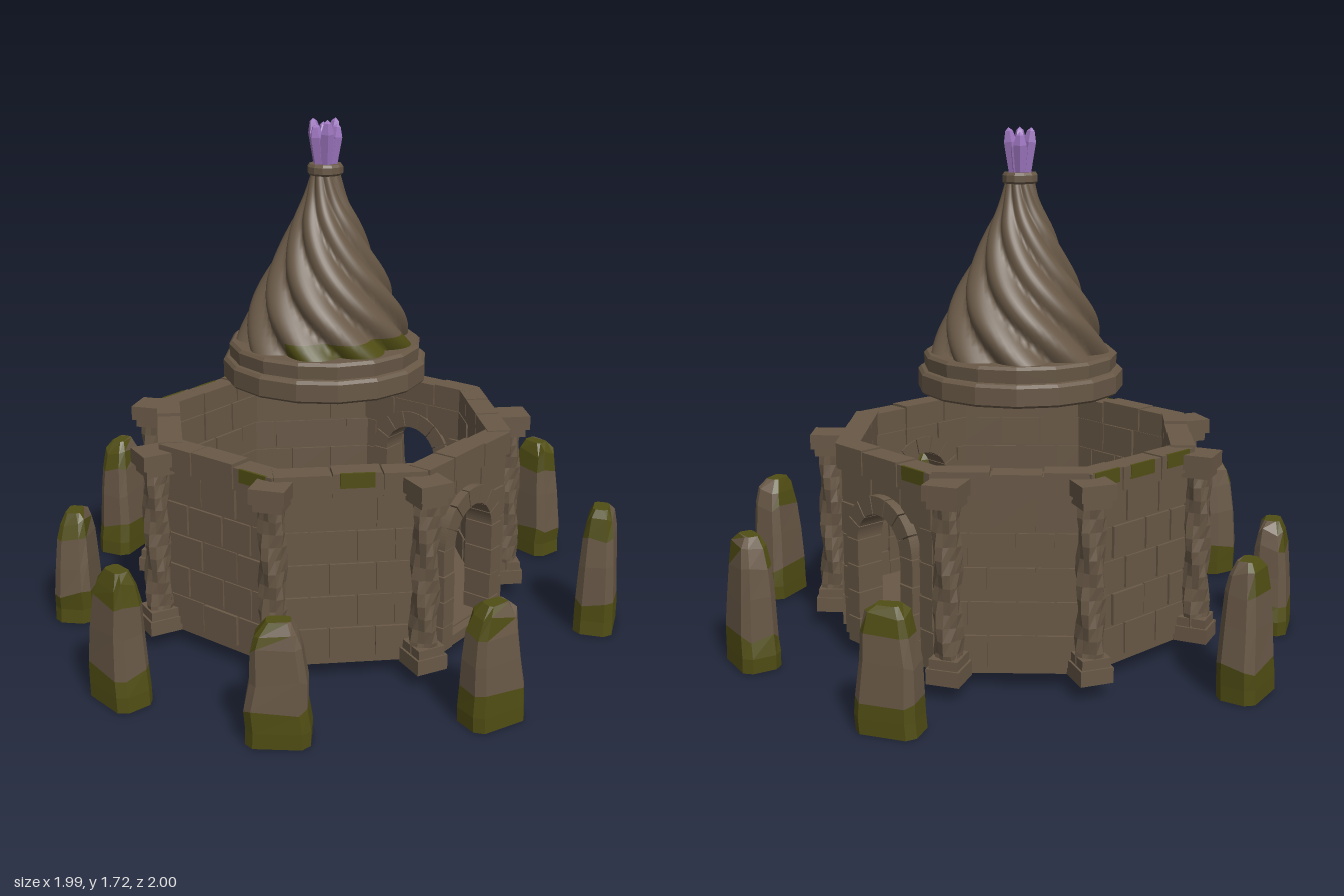
import * as THREE from 'three';

const mat = (name, color) => {
  const m = new THREE.MeshStandardMaterial({ color });
  m.name = name;
  return m;
};

export function createModel() {
  const stone = mat('stone', 0x685846);
  const moss = mat('moss', 0x504d14);
  const crystal = mat('crystal', 0xa078c2);
  const model = new THREE.Group();
  model.name = 'ruinedTower';

  let seed = 7;
  const rnd = (a, b) => {
    seed = (seed * 16807) % 2147483647;
    return a + (b - a) * seed / 2147483647;
  };
  const add = (parent, name, geo, material, x = 0, y = 0, z = 0) => {
    const m = new THREE.Mesh(geo, material);
    m.name = name;
    m.position.set(x, y, z);
    parent.add(m);
    return m;
  };
  const group = (parent, name, x = 0, y = 0, z = 0, ry = 0) => {
    const g = new THREE.Group();
    g.name = name;
    g.position.set(x, y, z);
    g.rotation.y = ry;
    parent.add(g);
    return g;
  };
  const box = (parent, name, w, h, d, x, y, z, material = stone) =>
    add(parent, name, new THREE.BoxGeometry(w, h, d), material, x, y, z);
  const flat = (geo) => {
    const g = geo.index ? geo.toNonIndexed() : geo;
    g.computeVertexNormals();
    return g;
  };
  // Assigns moss to the triangles whose centre passes the rule
  const paint = (geo, rule) => {
    const g = geo.index ? geo.toNonIndexed() : geo;
    const p = g.attributes.position;
    g.clearGroups();
    for (let i = 0; i < p.count; i += 3) {
      const mid = (k) => (p[k](i) + p[k](i + 1) + p[k](i + 2)) / 3;
      g.addGroup(i, 3, rule(mid('getX'), mid('getY'), mid('getZ')) ? 1 : 0);
    }
    return g;
  };
  // Eight-sided lathe given by apothem, with flats facing the axes
  const octagon = (profile) => {
    const pts = profile.map(([a, y]) => new THREE.Vector2(a / Math.cos(Math.PI / 8), y));
    const g = new THREE.LatheGeometry(pts, 8);
    g.rotateY(Math.PI / 8);
    return flat(g);
  };

  const CX = 0.035, CZ = 0.01;
  const tower = group(model, 'tower', CX, 0, CZ);

  // Floor with a low inner step
  add(tower, 'floor', octagon([[0, 0.06], [0.568, 0.06], [0.568, 0.1], [0.4, 0.1], [0.4, 0.12],
    [0.33, 0.12], [0.33, 0.14], [0, 0.14]]), stone);
  // Coping core, the blocks below sit slightly proud of it
  add(tower, 'copingCore', octagon([[0.518, 0.63], [0.582, 0.63], [0.582, 0.703], [0.518, 0.703], [0.518, 0.63]]), stone);

  // Eight walls; those facing +z (0) and +x (2) carry a doorway
  for (let f = 0; f < 8; f++) {
    const wall = group(tower, 'wall' + f, 0, 0, 0, f * Math.PI / 4);
    const door = f === 0 || f === 2;
    const s = new THREE.Shape([[-0.236, 0.06], [0.236, 0.06], [0.236, 0.64], [-0.236, 0.64]]
      .map(([x, y]) => new THREE.Vector2(x, y)));
    if (door) {
      const hole = new THREE.Path();
      hole.moveTo(-0.12, 0.08);
      hole.lineTo(0.12, 0.08);
      hole.lineTo(0.12, 0.42);
      hole.absarc(0, 0.42, 0.12, 0, Math.PI, false);
      hole.lineTo(-0.12, 0.08);
      s.holes.push(hole);
    }
    add(wall, 'wallPanel', new THREE.ExtrudeGeometry(s, { depth: 0.05, bevelEnabled: false }), stone, 0, 0, 0.52);

    // Staggered brick courses running through the wall
    for (let r = 0; r < 5; r++) {
      const h = 0.111, y = 0.08 + h * (r + 0.5);
      const spans = [];
      if (door && r < 4) spans.push([-0.234, -0.165], [0.165, 0.234]);
      else {
        const cuts = r % 2 ? [-0.234, -0.13, 0.02, 0.14, 0.234] : [-0.234, -0.07, 0.08, 0.234];
        for (let i = 1; i < cuts.length; i++) spans.push([cuts[i - 1], cuts[i]]);
      }
      for (const [a, b] of spans)
        box(wall, 'brick', b - a - 0.008, h - 0.008, rnd(0.058, 0.072), (a + b) / 2, y, 0.545);
    }

    // Coping blocks
    const cuts = f % 2 ? [-0.243, -0.06, 0.1, 0.243] : [-0.243, -0.1, 0.08, 0.243];
    for (let i = 0; i < 3; i++) {
      const h = rnd(0.074, 0.084);
      const block = box(wall, 'copingBlock', cuts[i + 1] - cuts[i] - 0.006, h, 0.08, (cuts[i] + cuts[i + 1]) / 2, 0.635 + h / 2, 0.55);
      // Thin moss patches along the weathered edges
      if (f === 4 || (f === 6 && i === 2) || (f === 7 && i === 1) || (f === 2 && i === 2))
        box(block, 'mossPatch', 0.11, h * 0.6, 0.008, 0, h * 0.21, 0.038, moss);
    }

    // Door surround of jamb stones and wedge-shaped arch stones
    if (door) {
      const frame = group(wall, 'doorFrame');
      for (const side of [-1, 1])
        for (let i = 0; i < 4; i++)
          box(frame, 'jambStone', 0.06, 0.086, rnd(0.094, 0.104), side * 0.14, 0.105 + i * 0.09, 0.557);
      for (let i = 0; i < 7; i++) {
        const a = i * Math.PI / 7 + 0.015, b = (i + 1) * Math.PI / 7 - 0.015;
        const w = new THREE.Shape();
        w.absarc(0, 0, 0.17, a, b, false);
        w.absarc(0, 0, 0.11, b, a, true);
        add(frame, 'archStone', new THREE.ExtrudeGeometry(w, { depth: 0.1, bevelEnabled: false, curveSegments: 3 }),
          stone, 0, 0.42, 0.507);
      }
      box(frame, 'threshold', 0.24, 0.035, 0.09, 0, 0.0775, 0.555);
    }
  }

  // Twisted corner columns: [x, z] relative to the tower centre
  const columns = [[-0.6, -0.25], [-0.6, 0.25], [-0.25, -0.6], [-0.27, 0.6], [0.25, -0.6], [0.575, -0.305], [0.455, 0.455]];
  for (const [x, z] of columns) {
    const col = group(tower, 'column', x, 0, z, Math.atan2(x, z));
    const g = new THREE.CylinderGeometry(0.044, 0.047, 0.52, 12, 12);
    const p = g.attributes.position;
    for (let i = 0; i < p.count; i++) {
      const a = Math.atan2(p.getX(i), p.getZ(i));
      const k = 0.94 + 0.16 * Math.sin(3 * (a + p.getY(i) * 9));
      p.setX(i, p.getX(i) * k);
      p.setZ(i, p.getZ(i) * k);
    }
    add(col, 'columnShaft', flat(g), stone, 0, 0.37, 0);
    box(col, 'columnBase', 0.11, 0.05, 0.115, 0, 0.085, 0);
    box(col, 'columnFoot', 0.095, 0.03, 0.1, 0, 0.125, 0);
    box(col, 'columnNeck', 0.095, 0.03, 0.1, 0, 0.635, 0);
    box(col, 'columnCapital', 0.115, 0.05, 0.125, 0, 0.673, 0);
  }

  // Floating roof: rings, twisted spire, collar
  const roof = group(model, 'roof', 0.03, 0, 0);
  const lathe = (name, profile, n) =>
    add(roof, name, flat(new THREE.LatheGeometry(profile.map(([r, y]) => new THREE.Vector2(r, y)), n)), stone);
  lathe('roofBase', [[0, 0.86], [0.34, 0.86], [0.348, 0.868], [0.348, 0.925], [0.338, 0.935],
    [0.325, 0.937], [0.328, 0.98], [0.318, 0.99], [0, 0.992]], 16);
  lathe('roofCollar', [[0, 1.55], [0.054, 1.55], [0.06, 1.557], [0.06, 1.578], [0.054, 1.587], [0, 1.587]], 12);

  const outline = new THREE.SplineCurve([[0.285, 0.985], [0.245, 1.1], [0.2, 1.2], [0.15, 1.3],
    [0.105, 1.4], [0.068, 1.48], [0.045, 1.56]].map(([r, y]) => new THREE.Vector2(r, y)));
  const spire = new THREE.LatheGeometry(outline.getPoints(36), 108);
  const sp = spire.attributes.position;
  for (let i = 0; i < sp.count; i++) {
    const x = sp.getX(i), y = sp.getY(i), z = sp.getZ(i);
    const turn = Math.atan2(x, z) + (y - 0.985) * 4.4;
    const k = 0.9 + 0.17 * Math.abs(Math.sin(4.5 * turn));
    sp.setX(i, x * k);
    sp.setZ(i, z * k);
  }
  spire.computeVertexNormals();
  add(roof, 'spire', paint(spire, (x, y, z) => y < 1.035 && z > 0.05 && x < 0.12), [stone, moss]);

  // Crystal finial: a cluster of prongs leaning outwards
  const finial = group(roof, 'crystalFinial', 0, 1.58, 0);
  add(finial, 'crystalCore', flat(new THREE.CylinderGeometry(0.05, 0.036, 0.09, 7)), crystal, 0, 0.045, 0);
  for (let i = 0; i < 6; i++) {
    const arm = group(finial, 'crystalArm', 0, 0, 0, i * Math.PI / 3 + 0.3);
    const h = i % 2 ? 0.155 : 0.14;
    const shard = new THREE.LatheGeometry([[0, 0], [0.017, 0], [0.023, h * 0.7], [0.013, h * 0.93], [0, h]]
      .map(([r, y]) => new THREE.Vector2(r, y)), 5);
    add(arm, 'crystalProng', flat(shard), crystal, 0, 0, 0.024).rotation.x = 0.13;
  }

  // Standing stones: lofted chamfered blocks, mossy at foot and crown
  const standingStone = (h) => {
    const levels = [[0.01, 1], [0.06, 1], [0.12, 0.97], [h * 0.55, 0.88], [h * 0.78, 0.78], [h * 0.92, 0.64], [h, 0.38]];
    const ring = [[1, 0.6], [0.75, 1], [-0.75, 1], [-1, 0.6], [-1, -0.6], [-0.75, -1], [0.75, -1], [1, -0.6]];
    const pos = [], idx = [];
    levels.forEach(([y, k], j) => {
      const sx = rnd(-0.006, 0.006);
      for (const [u, v] of ring)
        pos.push(u * 0.098 * k + sx, y + (j > 1 && j < 6 ? rnd(-0.015, 0.015) : 0), v * 0.066 * k);
    });
    const n = 8, top = (levels.length - 1) * n;
    for (let j = 0; j < levels.length - 1; j++)
      for (let i = 0; i < n; i++) {
        const a = j * n + i, b = j * n + (i + 1) % n;
        idx.push(a, a + n, b, b, a + n, b + n);
      }
    for (let i = 1; i < n - 1; i++) idx.push(0, i, i + 1, top, top + i + 1, top + i);
    const g = new THREE.BufferGeometry();
    g.setAttribute('position', new THREE.Float32BufferAttribute(pos, 3));
    g.setIndex(idx);
    return paint(flat(g), (x, y, z) => y < 0.12 || (y > h * 0.8 && x + z < 0.03));
  };
  // [x, z, turn in degrees, height]
  const stones = [[-0.07, -0.92, 14, 0.45], [-0.585, -0.62, 31, 0.4], [0.89, -0.36, -62, 0.4], [-0.92, -0.07, 80, 0.45],
    [0.91, 0.345, 78, 0.45], [-0.8, 0.475, -55, 0.4], [-0.31, 0.91, -20, 0.4], [0.465, 0.855, 22, 0.45]];
  for (const [x, z, deg, h] of stones)
    add(model, 'standingStone', standingStone(h), [stone, moss], x, 0, z).rotation.y = deg * Math.PI / 180;

  return model;
}
